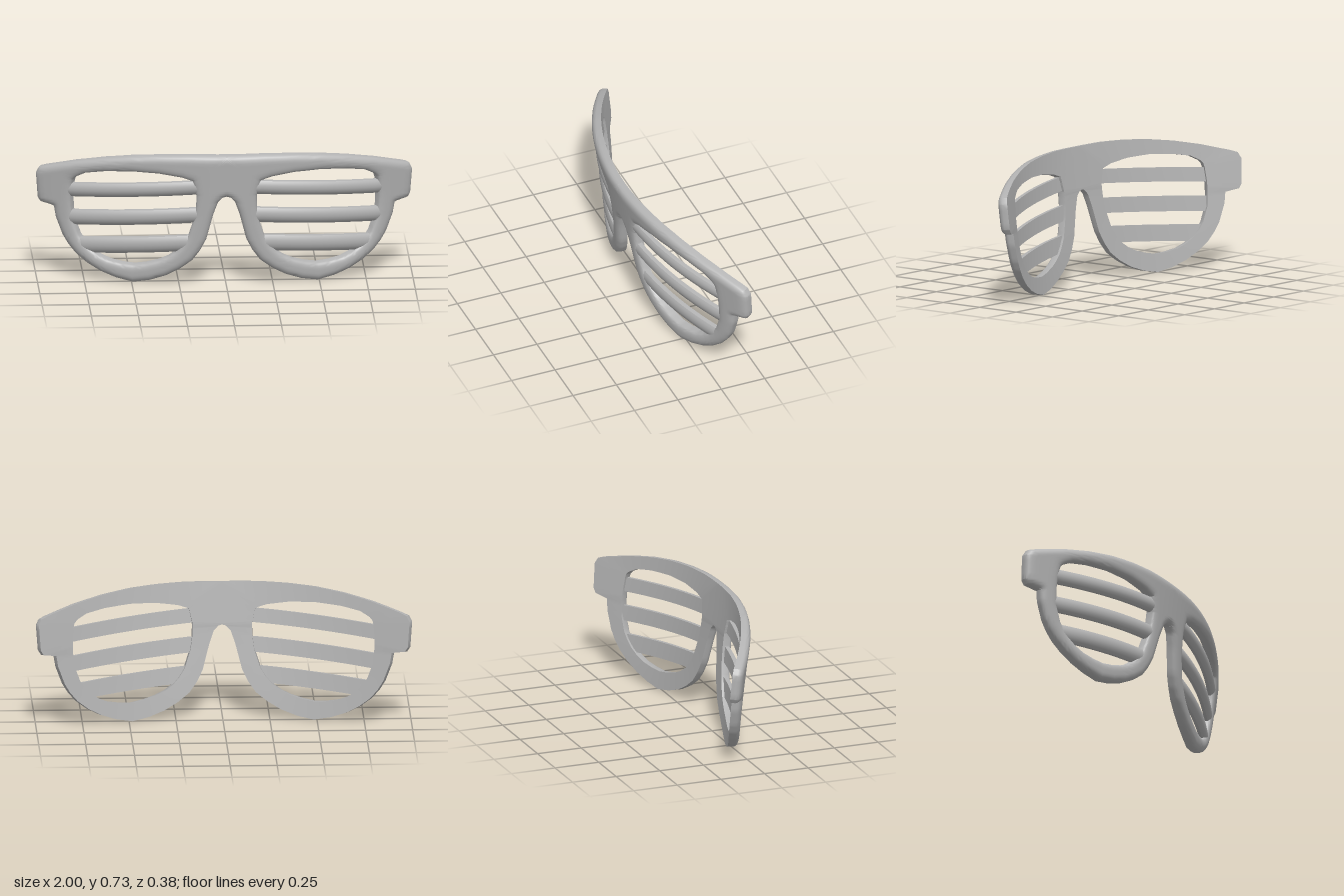
import * as THREE from 'three';
import { mergeGeometries, toCreasedNormals } from 'three/addons/utils/BufferGeometryUtils.js';

const DEPTH = 0.027; // half thickness of the frame
const ROUND = 0.038; // width of the rounded front edge

// Matching points of the outer rim and the lens opening, clockwise: [outer x, y, opening x, y]
const PAIRS = [
  [0, 0.719, 0.18, 0.58], [0.2, 0.72, 0.24, 0.6], [0.35, 0.715, 0.36, 0.618],
  [0.5, 0.704, 0.5, 0.623], [0.65, 0.683, 0.64, 0.613], [0.8, 0.652, 0.74, 0.595],
  [0.95, 0.61, 0.79, 0.568], [0.985, 0.597, 0.805, 0.55], [1, 0.565, 0.81, 0.53],
  [0.99, 0.43, 0.815, 0.46], [0.975, 0.405, 0.815, 0.43], [0.905, 0.39, 0.813, 0.39],
  [0.895, 0.33, 0.805, 0.32], [0.86, 0.235, 0.775, 0.24], [0.83, 0.184, 0.75, 0.202],
  [0.79, 0.135, 0.715, 0.165], [0.73, 0.086, 0.672, 0.135], [0.66, 0.046, 0.62, 0.112],
  [0.58, 0.016, 0.555, 0.099], [0.49, -0.003, 0.49, 0.094], [0.4, 0.013, 0.425, 0.105],
  [0.315, 0.043, 0.36, 0.124], [0.243, 0.083, 0.31, 0.147], [0.18, 0.131, 0.27, 0.175],
  [0.14, 0.186, 0.235, 0.214], [0.107, 0.25, 0.205, 0.26], [0.07, 0.39, 0.172, 0.36],
  [0.045, 0.46, 0.162, 0.43], [0.02, 0.485, 0.16, 0.47],
  // centre line
  [0, 0.49, 0.16, 0.5], [0, 0.502, 0.163, 0.51], [0, 0.517, 0.165, 0.52], [0, 0.535, 0.168, 0.53],
  [0, 0.67, 0.172, 0.55], [0, 0.69, 0.175, 0.56], [0, 0.706, 0.178, 0.57],
];

// Place a flat point on the wrapped, leaning face, moved d along its normal
function bend(x, y, d) {
  const n = new THREE.Vector3(0.606 * x, -0.122, 1).normalize();
  return new THREE.Vector3(x, y, 0.165 - 0.122 * (0.7 - y) - 0.303 * x * x).addScaledVector(n, d);
}

// Skin a row of closed cross-sections; skip(j, i) leaves a face out
function skin(sections, closed, mirrored, skip = () => false) {
  const n = sections[0].length, rows = sections.length, index = [];
  for (let j = 0; j < (closed ? rows : rows - 1); j++) {
    for (let i = 0; i < n; i++) {
      if (skip(j, i)) continue;
      const k = (j + 1) % rows, m = (i + 1) % n;
      const a = j * n + i, b = j * n + m, c = k * n + i, e = k * n + m;
      if (mirrored) index.push(a, c, b, b, c, e);
      else index.push(a, b, c, b, e, c);
    }
  }
  const points = sections.flat().map((p) => new THREE.Vector3(mirrored ? -p.x : p.x, p.y, p.z));
  const geometry = new THREE.BufferGeometry().setFromPoints(points);
  geometry.setIndex(index);
  return geometry;
}

function distanceToSegment(x, y, [ax, ay, bx, by]) {
  const dx = bx - ax, dy = by - ay;
  const t = THREE.MathUtils.clamp(((x - ax) * dx + (y - ay) * dy) / (dx * dx + dy * dy), 0, 1);
  return Math.hypot(x - ax - t * dx, y - ay - t * dy);
}

// One half of the frame: a ring of sections from the outer rim to the opening
function frameSections() {
  const steps = 4, rims = [], openings = [], sections = [];
  const across = [0, 0.03, 0.08, 0.16, 0.28, 0.4, 0.5, 0.6, 0.72, 0.84, 0.92, 0.97, 1];
  const next = (j) => PAIRS[(j + 1) % PAIRS.length];
  PAIRS.forEach((p, j) => {
    const q = next(j);
    if (p[0] > 0 || q[0] > 0) rims.push([p[0], p[1], q[0], q[1]]);
    openings.push([p[2], p[3], q[2], q[3]]);
  });
  // a wall of height base, rounded over towards the full depth
  const rise = (x, y, edges, base) => {
    const gap = Math.min(...edges.map((e) => distanceToSegment(x, y, e)));
    const r = 1 - Math.min(gap / ROUND, 1);
    return base + (DEPTH - base) * Math.sqrt(1 - r * r);
  };
  PAIRS.forEach((p, j) => {
    const q = next(j);
    for (let s = 0; s < steps; s++) {
      const [ox, oy, hx, hy] = p.map((v, k) => v + (q[k] - v) * s / steps);
      const front = across.map((t) => {
        const x = ox + (hx - ox) * t, y = oy + (hy - oy) * t;
        return bend(x, y, Math.min(rise(x, y, rims, 0), rise(x, y, openings, 0.009)));
      });
      sections.push([bend(ox, oy, -DEPTH), ...front, bend(hx, hy, -DEPTH)]);
    }
  });
  // no wall where the halves meet
  const seam = PAIRS.findIndex((p, j) => j > 0 && p[0] === 0) * steps;
  return { sections, skip: (j, i) => j >= seam && i === 0 };
}

// Slat: flat back, gently rounded front, sloping down outwards
function slatSections({ top, bottom, from, to }) {
  const profile = [[0, -0.014], [0, 0.009], [0.12, 0.016], [0.3, 0.021], [0.5, 0.023],
    [0.7, 0.02], [0.88, 0.013], [1, 0.003], [1, -0.014]];
  const sections = [];
  for (let j = 0; j <= 14; j++) {
    const x = from + (to - from) * j / 14;
    const drop = 0.078 * (x - 0.18);
    sections.push(profile.map(([v, d]) => bend(x, top + (bottom - top) * v - drop, d)));
  }
  return sections;
}

const SLATS = [
  { name: 'upperSlat', top: 0.577, bottom: 0.501, from: 0.14, to: 0.84 },
  { name: 'middleSlat', top: 0.425, bottom: 0.343, from: 0.145, to: 0.83 },
  { name: 'lowerSlat', top: 0.273, bottom: 0.185, from: 0.19, to: 0.785 },
];

export function createModel() {
  const group = new THREE.Group();
  group.name = 'shutterGlasses';
  const plastic = new THREE.MeshStandardMaterial({ color: 0xb4b4b4 });
  plastic.name = 'greyPlastic';

  const add = (geometry, name) => {
    const mesh = new THREE.Mesh(toCreasedNormals(geometry, 0.65), plastic);
    mesh.name = name;
    group.add(mesh);
  };

  // Frame, both halves joined at the bridge
  const { sections, skip } = frameSections();
  add(mergeGeometries([false, true].map((m) => skin(sections, true, m, skip))), 'frame');

  // Slats across each opening
  for (const mirrored of [false, true]) {
    for (const slat of SLATS) {
      add(skin(slatSections(slat), false, mirrored), slat.name + (mirrored ? 'Right' : 'Left'));
    }
  }
  return group;
}
